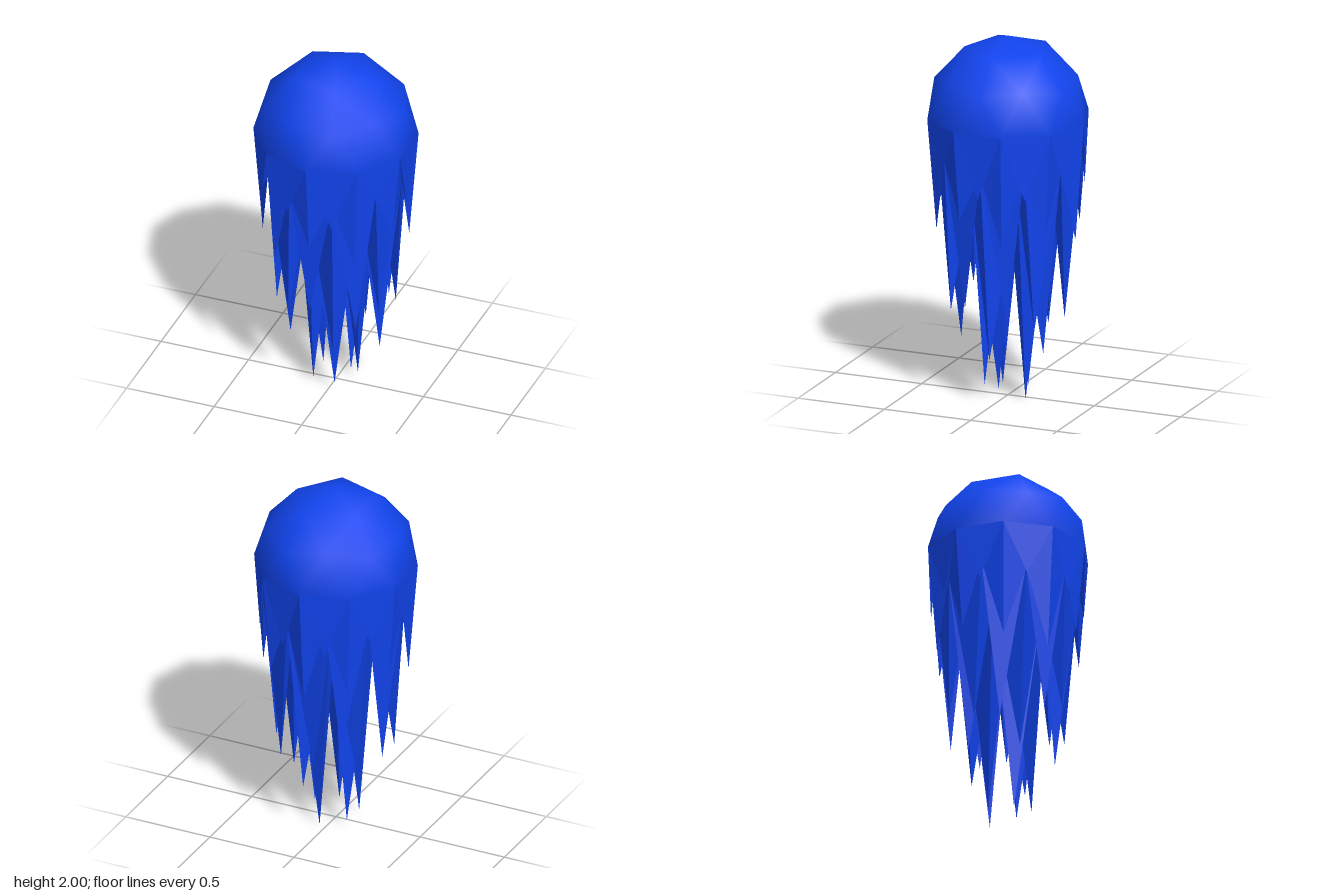
import * as THREE from 'three';

const R = 0.44, CENTER_Y = 1.56;

// Point on the ball from latitude and azimuth in degrees (azimuth 90 faces the front)
function onBall(lat, az) {
  const a = THREE.MathUtils.degToRad(lat), b = THREE.MathUtils.degToRad(az);
  return new THREE.Vector3(Math.cos(a) * Math.cos(b), Math.sin(a), Math.cos(a) * Math.sin(b)).multiplyScalar(R);
}

// The eight facets in one fifth of the upper half of a once-subdivided icosahedron
function sectorFacets(k) {
  const a = k * 72;
  const pole = onBall(90, 0);
  const m0 = onBall(58.28, a), m1 = onBall(58.28, a + 72);
  const u0 = onBall(26.57, a), u1 = onBall(26.57, a + 72);
  const e = onBall(31.72, a + 36);
  const q0 = onBall(0, a - 18), q1 = onBall(0, a + 18), q2 = onBall(0, a + 54);
  return [[pole, m0, m1], [m0, m1, e], [u0, m0, e], [u1, m1, e],
    [u0, q0, q1], [e, q1, q2], [u0, e, q1], [u1, e, q2]];
}

// Height of each spike tip: one row per facet kind, one column per sector
const TIP_Y = [
  [0.04, 0, 0.07, 0.05, 0.03],
  [0.36, 0.28, 0.26, 0.32, 0.34],
  [0.50, 0.46, 0.49, 0.50, 0.55],
  [0.58, 0.44, 0.55, 0.61, 0.48],
  [1.26, 1.20, 1.20, 1.32, 1.25],
  [1.25, 1.20, 1.20, 1.19, 1.28],
  [1.00, 0.91, 0.93, 0.95, 0.88],
  [0.95, 1.00, 1.06, 1.05, 0.93],
];

// Order corners so the facet faces away from the ball's centre
function outward([a, b, c]) {
  const n = b.clone().sub(a).cross(c.clone().sub(a));
  return n.dot(a) > 0 ? [a, b, c] : [a, c, b];
}

export function createModel() {
  const model = new THREE.Group();
  const material = new THREE.MeshStandardMaterial({ color: 0x1144ee });
  const add = (name, points) => {
    const geometry = new THREE.BufferGeometry().setFromPoints(points);
    geometry.computeVertexNormals();
    const mesh = new THREE.Mesh(geometry, material);
    mesh.name = name;
    mesh.position.y = CENTER_Y;
    model.add(mesh);
    return mesh;
  };

  const domePoints = [], spikePoints = [];
  for (let k = 0; k < 5; k++) {
    sectorFacets(k).forEach((facet, kind) => {
      domePoints.push(...outward(facet));

      // The lower half mirrors the upper through the centre; each facet is drawn down to a point
      const [a, b, c] = outward(facet.map(p => p.clone().negate()));
      const tip = a.clone().add(b).add(c).divideScalar(3);
      tip.y = TIP_Y[kind][k] - CENTER_Y;
      spikePoints.push(a, b, tip, b, c, tip, c, a, tip);
    });
  }

  // Smooth dome with radial normals
  const dome = add('dome', domePoints);
  const normals = domePoints.flatMap(p => p.clone().normalize().toArray());
  dome.geometry.setAttribute('normal', new THREE.Float32BufferAttribute(normals, 3));

  // Sharp-edged hanging spikes
  add('hangingSpikes', spikePoints);
  return model;
}
